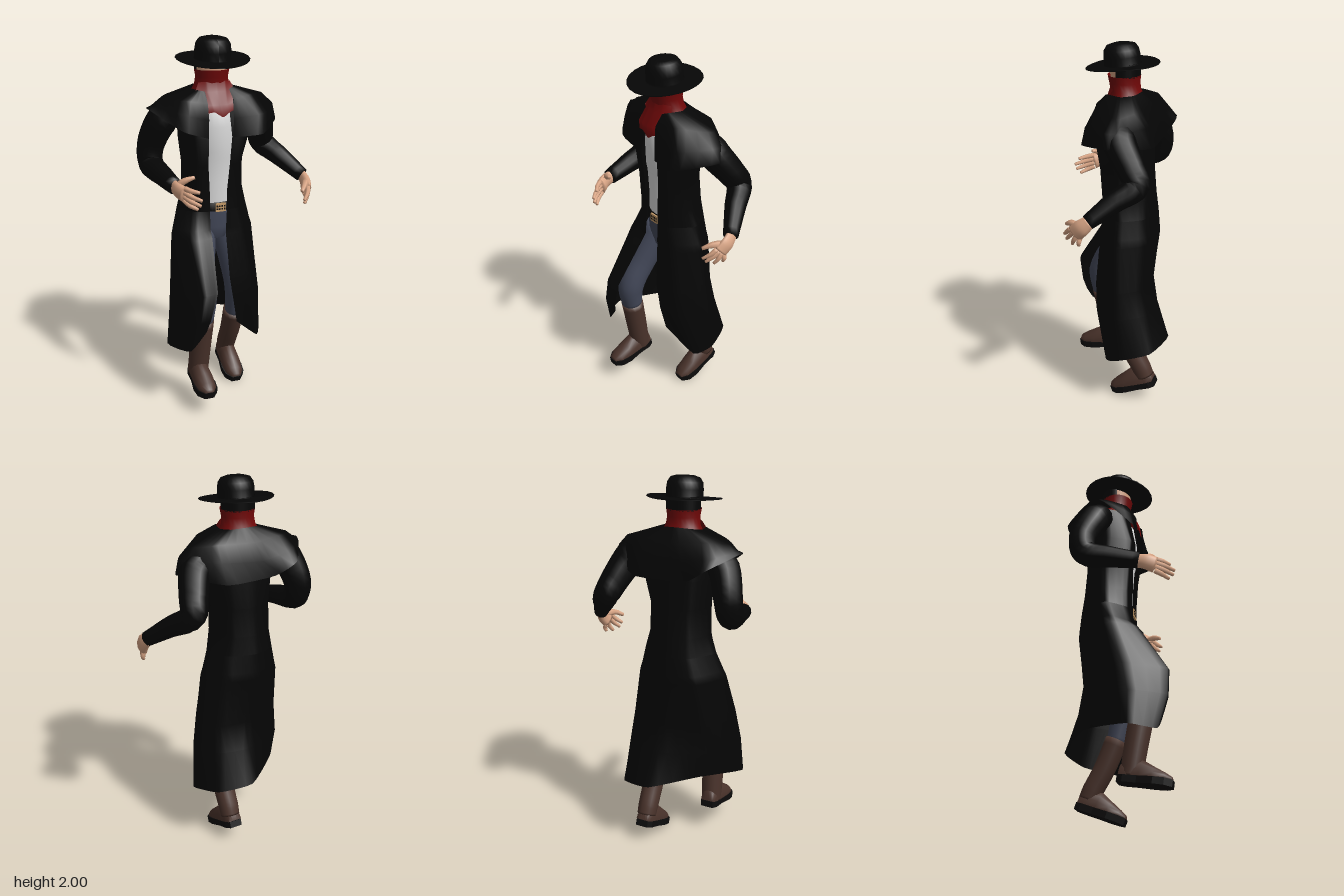
import * as THREE from 'three';

const V = (x, y, z) => new THREE.Vector3(x, y, z);
const paint = (name, color, side = THREE.FrontSide) => {
  const m = new THREE.MeshStandardMaterial({ color, side });
  m.name = name;
  return m;
};

// Skin stretched over a list of rings (arrays of points)
function loft(rings, closed) {
  const n = rings[0].length, index = [];
  for (let i = 0; i < rings.length - 1; i++) {
    for (let j = 0; j < (closed ? n : n - 1); j++) {
      const a = i * n + j, b = i * n + (j + 1) % n;
      index.push(a, b, a + n, b, b + n, a + n);
    }
  }
  const g = new THREE.BufferGeometry().setFromPoints(rings.flat());
  g.setIndex(index);
  g.computeVertexNormals();
  return g;
}

// Round limb through [x, y, z, radius] stations, closed at both ends
function limb(stations, sides = 12, flat = 1, steps = 5) {
  const curve = new THREE.CatmullRomCurve3(stations.map(s => V(s[0], s[1], s[2])));
  const spans = stations.length - 1, count = spans * steps, rings = [];
  const ring = (t, k) => {
    const u = Math.min(t * spans, spans - 1e-6), i = Math.floor(u);
    const r = k * THREE.MathUtils.lerp(stations[i][3], stations[i + 1][3], u - i);
    const c = curve.getPoint(t), T = curve.getTangent(t);
    const B = T.clone().cross(V(1, 0, 0)).normalize(), N = B.clone().cross(T);
    return Array.from({ length: sides }, (_, j) => {
      const a = j / sides * Math.PI * 2;
      return c.clone().addScaledVector(N, r * flat * Math.cos(a)).addScaledVector(B, r * Math.sin(a));
    });
  };
  rings.push(ring(0, 0));
  for (let i = 0; i <= count; i++) rings.push(ring(i / count, 1));
  rings.push(ring(1, 0));
  return loft(rings, true);
}

// Upright body from [y, centreX, centreZ, radiusX, radiusZ] rows, bottom to top
const ovals = rows => loft(rows.map(([y, cx, cz, rx, rz]) => Array.from({ length: 24 }, (_, j) => {
  const a = j / 24 * Math.PI * 2;
  return V(cx + rx * Math.cos(a), y, cz - rz * Math.sin(a));
})), true);

// Cloth open at the front: each row runs from the right front edge round the back
const cloth = rows => loft(rows.map(row =>
  new THREE.CatmullRomCurve3(row.map(p => V(...p)), false, 'catmullrom', 0.25).getPoints(32)), false);
const level = (y, pts) => pts.map(([x, z]) => [x, y, z]);

export function createModel() {
  const group = new THREE.Group();
  const D = THREE.DoubleSide;
  const coat = paint('coat black', 0x050505, D), black = paint('hat black', 0x060606);
  const red = paint('scarf red', 0x700808, D), white = paint('shirt white', 0xdadada);
  const denim = paint('denim', 0x434859), leather = paint('boot leather', 0x4a332b);
  const soleBlack = paint('sole black', 0x0d0c0c), skin = paint('skin', 0xdba787);
  const brass = paint('buckle brass', 0xc49a68);
  const add = (name, geometry, material, parent = group) => {
    const m = new THREE.Mesh(geometry, material);
    m.name = name;
    parent.add(m);
    return m;
  };

  // Hat with a slightly curled brim
  const hatProfile = [[0.07, -0.006], [0.19, 0], [0.193, 0.003], [0.19, 0.006], [0.1, 0.008], [0.094, 0.012],
    [0.095, 0.05], [0.09, 0.085], [0.075, 0.108], [0.045, 0.117], [0, 0.118]];
  const hatShape = new THREE.LatheGeometry(hatProfile.map(p => new THREE.Vector2(...p)), 24);
  const hp = hatShape.attributes.position;
  for (let i = 0; i < hp.count; i++) {
    const x = hp.getX(i), r = Math.hypot(x, hp.getZ(i));
    if (r > 0.15) hp.setY(i, hp.getY(i) + x * x * 0.25);
  }
  hatShape.computeVertexNormals();
  const hat = add('hat', hatShape, black);
  hat.position.set(-0.088, 1.881, -0.026);
  hat.rotation.x = 0.1;

  // Head and hair
  add('head', ovals([[1.7, -0.09, -0.04, 0.06, 0.06], [1.8, -0.09, -0.037, 0.078, 0.072],
    [1.9, -0.09, -0.037, 0.086, 0.08]]), skin);
  const hair = add('hair', new THREE.CylinderGeometry(0.09, 0.09, 0.07, 20, 1, true, 1.3, Math.PI * 2 - 2.6), coat);
  hair.position.set(-0.09, 1.868, -0.038);
  hair.scale.z = 0.9;

  // Scarf over the face, with a pointed bib
  add('scarf', ovals([[1.725, -0.09, -0.05, 0.108, 0.088], [1.76, -0.09, -0.043, 0.09, 0.078],
    [1.8, -0.09, -0.036, 0.085, 0.08], [1.838, -0.09, -0.034, 0.092, 0.086]]), red);
  add('scarfBib', cloth([
    [[-0.175, 1.775, 0], [-0.14, 1.78, 0.025], [-0.09, 1.78, 0.037], [-0.04, 1.78, 0.025], [-0.005, 1.775, 0]],
    [[-0.195, 1.735, 0.015], [-0.14, 1.73, 0.042], [-0.09, 1.73, 0.048], [-0.04, 1.73, 0.042], [0.012, 1.74, 0.015]],
    [[-0.165, 1.67, 0.083], [-0.13, 1.67, 0.09], [-0.09, 1.67, 0.093], [-0.05, 1.67, 0.09], [-0.018, 1.68, 0.083]],
    [[-0.155, 1.63, 0.088], [-0.12, 1.635, 0.095], [-0.075, 1.608, 0.097], [-0.04, 1.63, 0.095], [-0.012, 1.64, 0.088]],
  ]), red);

  // Shirt, hips, belt and buckle
  add('shirt', ovals([[1.1, -0.085, -0.07, 0.13, 0.12], [1.25, -0.085, -0.06, 0.125, 0.11],
    [1.38, -0.085, -0.05, 0.125, 0.11], [1.42, -0.085, -0.045, 0.125, 0.115], [1.55, -0.085, -0.04, 0.125, 0.115],
    [1.65, -0.085, -0.04, 0.105, 0.1], [1.72, -0.09, -0.045, 0.05, 0.05]]), white);
  add('hips', ovals([[0.918, -0.09, -0.06, 0.04, 0.06], [0.935, -0.09, -0.065, 0.09, 0.1],
    [1.0, -0.09, -0.07, 0.14, 0.115], [1.12, -0.088, -0.07, 0.132, 0.121]]), denim);
  add('belt', ovals([[1.092, -0.087, -0.07, 0.13, 0.118], [1.094, -0.087, -0.07, 0.138, 0.128],
    [1.14, -0.087, -0.07, 0.136, 0.126], [1.142, -0.087, -0.07, 0.12, 0.11]]), black);
  add('buckle', new THREE.BoxGeometry(0.055, 0.046, 0.009), brass).position.set(-0.078, 1.116, 0.06);
  for (let i = 0; i < 8; i++) {
    add('buckleHole', new THREE.BoxGeometry(0.008, 0.009, 0.002), soleBlack)
      .position.set(-0.098 + (i % 4) * 0.0133, 1.108 + Math.floor(i / 4) * 0.016, 0.065);
  }

  // Long coat: bodice, then skirt swept around the stepping leg
  const waist = level(1.1, [[-0.14, 0.065], [-0.21, 0.045], [-0.29, -0.05], [-0.21, -0.19], [-0.09, -0.228],
    [0.045, -0.185], [0.11, -0.07], [0.03, 0.045], [-0.045, 0.065]]);
  add('coatBodice', cloth([
    level(1.68, [[-0.14, 0.05], [-0.22, 0.03], [-0.28, -0.05], [-0.22, -0.15], [-0.09, -0.175],
      [0.04, -0.15], [0.12, -0.05], [0.05, 0.03], [-0.03, 0.05]]),
    level(1.5, [[-0.148, 0.085], [-0.22, 0.07], [-0.275, -0.05], [-0.21, -0.17], [-0.09, -0.195],
      [0.04, -0.17], [0.13, -0.06], [0.06, 0.07], [-0.022, 0.085]]),
    level(1.35, [[-0.148, 0.07], [-0.21, 0.055], [-0.255, -0.06], [-0.2, -0.17], [-0.09, -0.2],
      [0.02, -0.17], [0.085, -0.06], [0.03, 0.055], [-0.03, 0.07]]),
    level(1.2, [[-0.14, 0.065], [-0.21, 0.045], [-0.26, -0.06], [-0.2, -0.18], [-0.09, -0.215],
      [0.025, -0.18], [0.085, -0.06], [0.03, 0.045], [-0.045, 0.065]]),
    waist]), coat);
  add('coatSkirt', cloth([
    waist,
    level(1.0, [[-0.14, 0.072], [-0.23, 0.072], [-0.322, -0.02], [-0.235, -0.19], [-0.09, -0.237],
      [0.06, -0.195], [0.135, -0.07], [0.05, 0.048], [-0.05, 0.065]]),
    level(0.96, [[-0.14, 0.1], [-0.24, 0.115], [-0.333, -0.01], [-0.245, -0.19], [-0.09, -0.238],
      [0.07, -0.2], [0.148, -0.07], [0.06, 0.05], [-0.05, 0.065]]),
    level(0.71, [[-0.165, 0.255], [-0.25, 0.265], [-0.364, 0.06], [-0.28, -0.13], [-0.08, -0.215],
      [0.1, -0.195], [0.18, -0.08], [0.1, 0.06], [-0.035, 0.085]]),
    level(0.56, [[-0.205, 0.255], [-0.28, 0.265], [-0.382, 0.09], [-0.285, -0.145], [-0.05, -0.25],
      [0.115, -0.22], [0.202, -0.09], [0.12, 0.05], [-0.01, 0.08]]),
    [[-0.225, 0.49, 0.24], [-0.31, 0.38, 0.22], [-0.4, 0.385, 0.09], [-0.25, 0.42, -0.16], [-0.03, 0.38, -0.324],
      [0.15, 0.35, -0.268], [0.217, 0.32, -0.12], [0.17, 0.283, -0.02], [0.015, 0.43, 0.06]],
  ]), coat);

  // Shoulder cape
  add('shoulderCape', cloth([
    [[-0.155, 1.735, 0.045], [-0.185, 1.74, 0.025], [-0.2, 1.74, -0.05], [-0.17, 1.75, -0.11], [-0.09, 1.755, -0.13],
      [-0.01, 1.75, -0.11], [0.02, 1.745, -0.05], [0.005, 1.75, 0.025], [-0.025, 1.74, 0.045]],
    [[-0.155, 1.68, 0.09], [-0.26, 1.695, 0.06], [-0.37, 1.687, -0.06], [-0.29, 1.7, -0.16], [-0.1, 1.69, -0.19],
      [0.1, 1.7, -0.17], [0.21, 1.685, -0.09], [0.1, 1.705, 0.045], [-0.018, 1.69, 0.094]],
    [[-0.15, 1.6, 0.094], [-0.28, 1.63, 0.085], [-0.405, 1.66, -0.07], [-0.32, 1.63, -0.21], [-0.13, 1.6, -0.222],
      [0.1, 1.62, -0.21], [0.27, 1.625, -0.08], [0.15, 1.61, 0.095], [-0.02, 1.6, 0.1]],
    [[-0.15, 1.5, 0.09], [-0.29, 1.55, 0.1], [-0.435, 1.65, -0.07], [-0.312, 1.58, -0.26], [-0.2, 1.515, -0.235],
      [0.08, 1.51, -0.235], [0.283, 1.55, -0.07], [0.135, 1.51, 0.122], [-0.02, 1.5, 0.1]],
  ]), coat);

  // Sleeves
  add('rightSleeve', limb([[-0.28, 1.63, -0.08, 0.07], [-0.345, 1.57, -0.1, 0.082], [-0.395, 1.43, -0.15, 0.073],
    [-0.4, 1.34, -0.13, 0.067], [-0.38, 1.31, 0, 0.055], [-0.355, 1.285, 0.145, 0.042]]), coat);
  add('leftSleeve', limb([[0.13, 1.63, -0.08, 0.07], [0.188, 1.57, -0.1, 0.085], [0.24, 1.46, -0.175, 0.075],
    [0.27, 1.38, -0.22, 0.067], [0.342, 1.31, -0.13, 0.055], [0.43, 1.22, -0.02, 0.039]]), coat);

  // Hands: palm, four fingers fanned along a spread direction, and a thumb
  function hand(name, palm, spread, tips, thumb) {
    const h = new THREE.Group();
    h.name = name;
    group.add(h);
    add('palm', limb(palm, 10, 0.55), skin, h);
    const k = palm[palm.length - 1];
    tips.forEach((tip, i) => {
      const s = 0.033 - i * 0.022, base = [k[0], k[1] + spread[0] * s, k[2] + spread[1] * s];
      const mid = base.map((b, n) => (b + tip[n]) / 2 + (n === 0 ? Math.sign(k[0]) * 0.008 : 0));
      add('finger', limb([[...base, 0.014], [...mid, 0.013], [...tip, 0.0085]], 6, 1, 3), skin, h);
    });
    add('thumb', limb(thumb, 6, 1, 3), skin, h);
  }
  hand('rightHand', [[-0.355, 1.285, 0.12, 0.036], [-0.35, 1.275, 0.18, 0.042], [-0.328, 1.262, 0.225, 0.045]], [1, 0.1],
    [[-0.272, 1.285, 0.295], [-0.268, 1.25, 0.318], [-0.272, 1.222, 0.312], [-0.28, 1.198, 0.29]],
    [[-0.35, 1.29, 0.165, 0.02], [-0.315, 1.325, 0.195, 0.016], [-0.27, 1.342, 0.212, 0.009]]);
  hand('leftHand', [[0.43, 1.225, -0.03, 0.036], [0.437, 1.19, 0.01, 0.045], [0.428, 1.155, 0.045, 0.046]], [0.7, 0.7],
    [[0.382, 1.122, 0.122], [0.39, 1.1, 0.108], [0.41, 1.085, 0.07], [0.43, 1.09, 0.028]],
    [[0.437, 1.19, 0.02, 0.022], [0.405, 1.195, 0.075, 0.017], [0.37, 1.172, 0.115, 0.01]]);

  // Trouser legs and boot shafts
  add('rightTrouser', limb([[-0.155, 0.99, -0.05, 0.085], [-0.192, 0.8, 0.055, 0.078], [-0.208, 0.64, 0.135, 0.075],
    [-0.21, 0.5, 0.13, 0.058]], 16), denim);
  add('leftTrouser', limb([[-0.025, 0.99, -0.06, 0.08], [0.028, 0.75, -0.03, 0.076], [0.045, 0.6, -0.03, 0.066],
    [0.044, 0.42, -0.07, 0.05]], 16), denim);
  add('rightBoot', limb([[-0.21, 0.515, 0.13, 0.063], [-0.216, 0.35, 0.1, 0.06], [-0.22, 0.21, 0.077, 0.056],
    [-0.222, 0.17, 0.07, 0.054]], 14), leather);
  add('leftBoot', limb([[0.044, 0.45, -0.065, 0.06], [0.046, 0.3, -0.13, 0.057], [0.045, 0.19, -0.19, 0.055],
    [0.045, 0.14, -0.212, 0.052]], 14), leather);

  // Feet: rounded upper on a flat sole, pitched toe down
  const upper = [[0.004, 0.035, 0], [0.006, 0.04, 0.06], [0.04, 0.05, 0.085], [0.11, 0.054, 0.09],
    [0.17, 0.056, 0.062], [0.23, 0.05, 0.036], [0.264, 0.028, 0.018], [0.268, 0.022, 0]];
  const upperRings = upper.map(([z, w, h]) => Array.from({ length: 16 }, (_, j) => {
    const a = j / 16 * Math.PI * 2;
    return V(w * Math.cos(a), Math.max(0, h * Math.sin(a)), z);
  }));
  const outline = [[-0.035, 0], [0.035, 0], [0.05, 0.03], [0.05, 0.1], [0.062, 0.18], [0.056, 0.235],
    [0.025, 0.272], [-0.025, 0.272], [-0.056, 0.235], [-0.062, 0.18], [-0.05, 0.1], [-0.05, 0.03]];
  const soleShape = new THREE.Shape(outline.map(p => new THREE.Vector2(...p)));
  function foot(name, x, y, z, pitch) {
    const f = new THREE.Group();
    f.name = name;
    add('bootUpper', loft(upperRings, true), leather, f);
    const sole = new THREE.ExtrudeGeometry(soleShape, { depth: 0.035, bevelEnabled: false });
    add('sole', sole.rotateX(Math.PI / 2), soleBlack, f);
    f.position.set(x, y, z);
    f.rotation.x = pitch;
    group.add(f);
  }
  foot('rightFoot', -0.223, 0.182, 0.01, 0.15);
  foot('leftFoot', 0.043, 0.129, -0.265, 0.36);

  return group;
}
